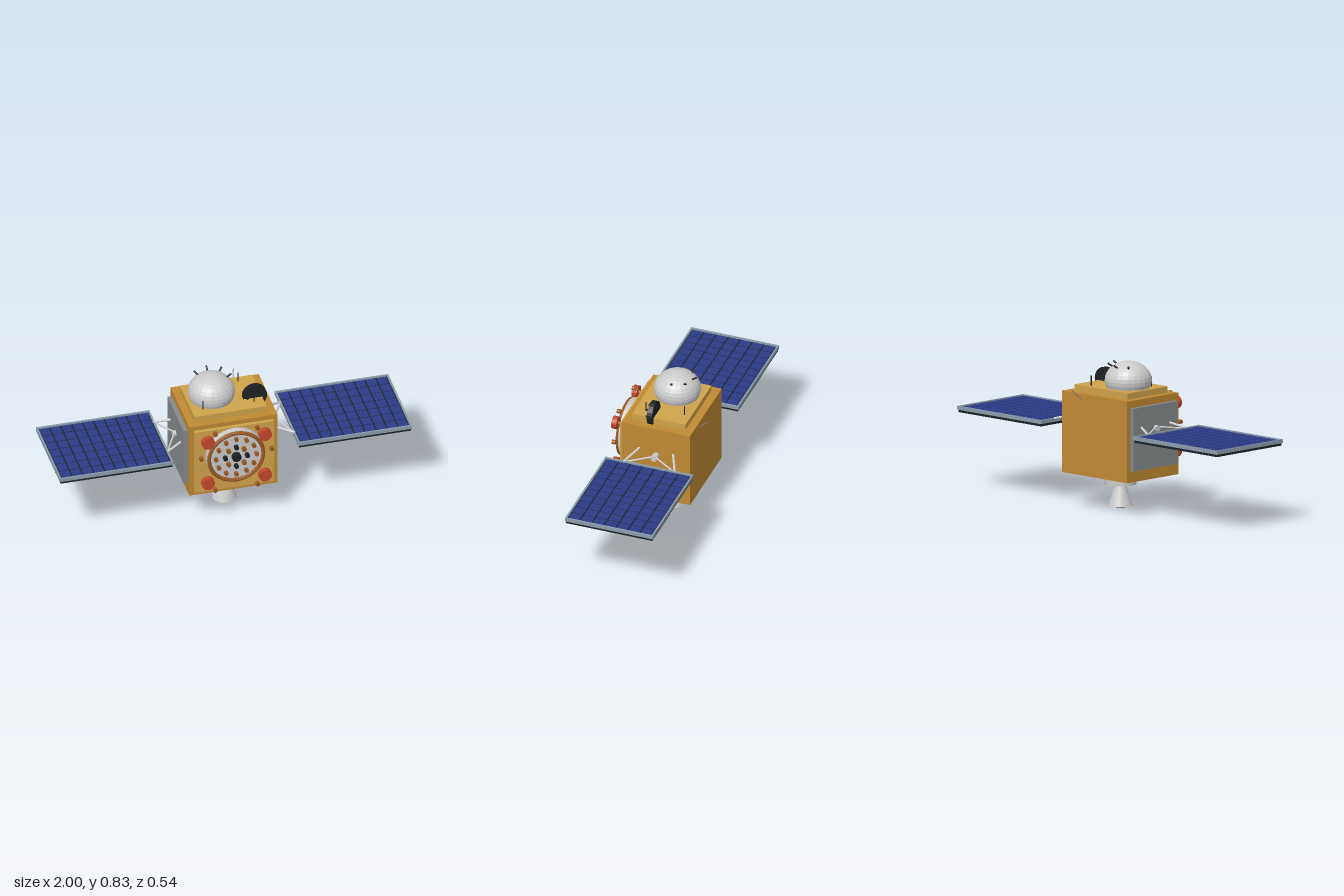
import * as THREE from 'three';

const mat = (color) => new THREE.MeshStandardMaterial({ color, flatShading: true });
const GREY = mat(0xcccccc), FOIL = mat(0xc08934), GOLD = mat(0xcfa34b), RED = mat(0xc4472b),
  BROWN = mat(0x9a5a22), DARK = mat(0x1e2225), BLUE = mat(0x2b3a86), FRAME = mat(0x8c9cac),
  PLATE = mat(0x858a8c);

export function createModel() {
  const model = new THREE.Group();

  const add = (name, geo, m, x, y, z, parent = model) => {
    const mesh = new THREE.Mesh(geo, m);
    mesh.name = name;
    mesh.position.set(x, y, z);
    parent.add(mesh);
    return mesh;
  };
  // Box given by its min and max corners
  const box = (name, m, a, b, parent) => add(name,
    new THREE.BoxGeometry(b[0] - a[0], b[1] - a[1], b[2] - a[2]), m,
    (a[0] + b[0]) / 2, (a[1] + b[1]) / 2, (a[2] + b[2]) / 2, parent);
  // Cylinder between two points
  const rod = (name, m, a, b, r, sides = 8, parent = model, r2 = r) => {
    const p = new THREE.Vector3(...a), q = new THREE.Vector3(...b);
    const d = q.clone().sub(p);
    const mesh = add(name, new THREE.CylinderGeometry(r2, r, d.length(), sides), m, 0, 0, 0, parent);
    mesh.position.copy(p).add(q).multiplyScalar(0.5);
    mesh.quaternion.setFromUnitVectors(new THREE.Vector3(0, 1, 0), d.normalize());
    return mesh;
  };
  // Disc facing the front
  const disc = (name, m, x, y, z0, z1, r, sides = 12) => rod(name, m, [x, y, z0], [x, y, z1], r, sides);

  // Body and cover plates
  box('body', FOIL, [-0.25, 0.19, -0.21], [0.25, 0.645, 0.19]);
  box('topPlate', GOLD, [-0.21, 0.645, -0.165], [0.2, 0.68, 0.148]);
  box('frontPlate', GOLD, [-0.225, 0.217, 0.19], [0.225, 0.618, 0.21]);
  box('radiatorPlate', PLATE, [-0.275, 0.255, -0.185], [-0.25, 0.605, 0.16]);

  // Docking disc with ring and studs
  disc('frontDisc', GREY, 0, 0.448, 0.21, 0.243, 0.165, 32);
  add('discRing', new THREE.TorusGeometry(0.154, 0.011, 8, 40), BROWN, 0, 0.448, 0.25);
  disc('centreStud', DARK, 0, 0.448, 0.243, 0.267, 0.026, 16);
  for (let i = 0; i < 12; i++) {
    const a = i * Math.PI / 6;
    disc('outerStud', BROWN, 0.115 * Math.cos(a), 0.448 + 0.115 * Math.sin(a), 0.243, 0.262, 0.012);
  }
  for (let i = 0; i < 8; i++) {
    const a = i * Math.PI / 4;
    disc('innerStud', i % 2 ? BROWN : DARK,
      0.062 * Math.cos(a), 0.448 + 0.062 * Math.sin(a), 0.243, 0.264, 0.013);
  }

  // Corner thrusters and small bolts
  for (const s of [-1, 1]) {
    for (const y of [0.303, 0.573]) {
      disc('thrusterStem', BROWN, s * 0.162, y, 0.21, 0.243, 0.012);
      disc('thrusterCap', RED, s * 0.162, y, 0.242, 0.272, 0.036, 20);
    }
    for (const [x, y] of [[0.12, 0.621], [0.2, 0.468], [0.12, 0.248]])
      disc('frontBolt', BROWN, s * x, y, 0.243, 0.265, 0.012);
  }

  // Engine nozzle
  rod('engineMount', GREY, [0, 0.13, -0.01], [0, 0.19, -0.01], 0.088, 24);
  rod('nozzle', GREY, [0, 0.01, -0.01], [0, 0.13, -0.01], 0.068, 24, model, 0.028);
  rod('nozzleThroat', DARK, [0, 0, -0.01], [0, 0.02, -0.01], 0.029, 16);

  // Dome with short whiskers
  const dome = add('dome', new THREE.SphereGeometry(0.13, 24, 16), GREY, -0.07, 0.72, -0.018);
  dome.scale.y = 0.81;
  for (let i = 0; i < 4; i++) {
    const a = i * Math.PI / 4, c = Math.cos(a), s = Math.sin(a);
    rod('domeWhisker', DARK, [-0.07 + 0.078 * c, 0.79, -0.018 - 0.078 * s],
      [-0.07 + 0.112 * c, 0.813, -0.018 - 0.112 * s], 0.005);
  }

  // Upright antennas and the slanted rear one
  for (const [x, z, r] of [[-0.145, 0.087, 0.003], [0.145, 0.087, 0.003], [0.11, -0.125, 0.003]])
    rod('antenna', DARK, [x, 0.675, z], [x, 0.735, z], r, 6);
  rod('rearAntenna', PLATE, [0.1, 0.613, -0.208], [0.12, 0.667, -0.264], 0.003, 6);

  // Upright sensor wheel with studs
  disc('sensorWheel', DARK, 0.16, 0.688, 0.022, 0.052, 0.068, 24);
  for (let i = 0; i < 8; i++) {
    const a = i * Math.PI / 4;
    disc('sensorStud', DARK, 0.16 + 0.045 * Math.cos(a), 0.688 + 0.045 * Math.sin(a), 0.052, 0.064, 0.007, 8);
  }

  // Solar wings and their struts
  for (const s of [-1, 1]) {
    const wing = new THREE.Group();
    wing.name = s > 0 ? 'leftWing' : 'rightWing';
    wing.rotation.y = s > 0 ? 0 : Math.PI;
    // the turned wing is re-centred on the same depth
    const zc = -0.012;
    wing.position.z = zc;
    model.add(wing);
    const x0 = 0.355, x1 = 1, h = 0.2575;
    box('panelBack', DARK, [x0 + 0.005, 0.437, -h + 0.005], [x1 - 0.005, 0.463, h - 0.005], wing);
    for (const e of [-1, 1]) {
      const z = e * (h - 0.005), x = e < 0 ? x0 + 0.005 : x1 - 0.005;
      box('panelRail', FRAME, [x0, 0.451, z - 0.005], [x1, 0.472, z + 0.005], wing);
      box('panelRail', FRAME, [x - 0.005, 0.451, -h + 0.01], [x + 0.005, 0.472, h - 0.01], wing);
      rod('strut', GREY, [0.24, 0.502, e * 0.095], [0.362, 0.468, e * 0.15], 0.007, 8, wing);
      rod('diagonalStrut', GREY, [0.28, 0.485, 0], [0.362, 0.465, e * 0.15], 0.005, 8, wing);
    }
    rod('wingHub', GREY, [0.25, 0.476, 0], [0.293, 0.476, 0], 0.018, 12, wing);
    const cols = 10, rows = 7, dx = (x1 - x0 - 0.024) / cols, dz = (2 * h - 0.024) / rows;
    for (let i = 0; i < cols; i++) for (let j = 0; j < rows; j++) {
      const x = x0 + 0.012 + i * dx, z = -h + 0.012 + j * dz;
      box('solarCell', BLUE, [x + 0.004, 0.46, z + 0.004], [x + dx - 0.004, 0.467, z + dz - 0.004], wing);
    }
  }
  return model;
}
